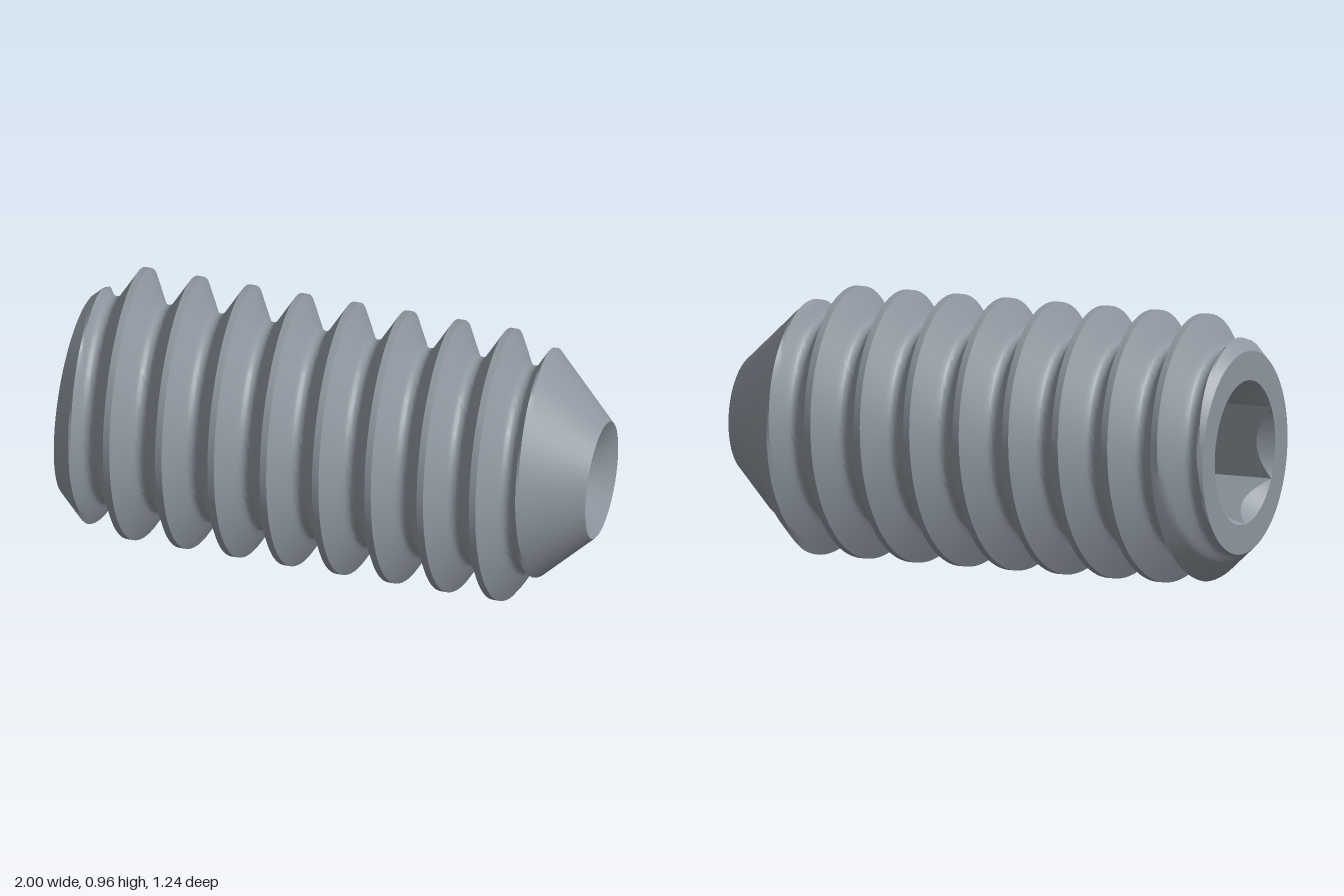
import * as THREE from 'three';
import { toCreasedNormals } from 'three/addons/utils/BufferGeometryUtils.js';

const COLUMNS = 120;
const PITCH = 0.193, CREST = 0.4815, ROOT = 0.363, CREST_HALF = 0.012, FILLET = 0.0279;
const PHASE = 0.0145;             // crest position along the axis at the top of the screw
const START = -0.94, END = 0.978; // socket end and cup end along the axis
const CUP_RADIUS = 0.2115, CUP_DEPTH = 0.125;
const MOUTH = 0.258, APOTHEM = MOUTH * Math.cos(Math.PI / 6);
const TILT = 0.211;

// Surface swept around the x axis; each row is a function angle -> [axial, radius]
function sweep(rows, crease = 0.5) {
  const positions = [], index = [];
  for (const row of rows) {
    for (let j = 0; j <= COLUMNS; j++) {
      const a = (j / COLUMNS) * Math.PI * 2;
      const [s, r] = row(a);
      positions.push(s, r * Math.cos(a), r * Math.sin(a));
    }
  }
  const point = (i) => new THREE.Vector3().fromArray(positions, i * 3);
  const addTriangle = (a, b, c) => {
    const pa = point(a);
    const area = point(b).sub(pa).cross(point(c).sub(pa)).length();
    if (area > 1e-9) index.push(a, b, c);
  };
  for (let i = 0; i < rows.length - 1; i++) {
    for (let j = 0; j < COLUMNS; j++) {
      const a = i * (COLUMNS + 1) + j, b = a + 1;
      const d = a + COLUMNS + 1, c = d + 1;
      addTriangle(a, b, c);
      addTriangle(a, c, d);
    }
  }
  const geometry = new THREE.BufferGeometry();
  geometry.setAttribute('position', new THREE.Float32BufferAttribute(positions, 3));
  geometry.setIndex(index);
  return toCreasedNormals(geometry, crease);
}

// Thread radius at an axial distance from the crest: flat crest, 60 degree flanks, round root
function threadRadius(distance) {
  const d = Math.abs(distance), e = PITCH / 2 - d;
  if (d <= CREST_HALF) return CREST;
  if (e < FILLET * Math.sin(Math.PI / 3)) {
    return ROOT + FILLET - Math.sqrt(FILLET * FILLET - e * e);
  }
  return CREST - Math.sqrt(3) * (d - CREST_HALF);
}

// Helical rows, trimmed by the chamfer at one end and the cone at the other
function threadRows() {
  const half = [];
  const flankEnd = PITCH / 2 - FILLET * Math.sin(Math.PI / 3);
  for (let i = 0; i <= 7; i++) half.push(THREE.MathUtils.lerp(CREST_HALF, flankEnd, i / 7));
  for (const deg of [40, 20]) half.push(PITCH / 2 - FILLET * Math.sin(deg * Math.PI / 180));
  const offsets = [-PITCH / 2, ...half.map((d) => -d).reverse(), ...half];

  const rows = [];
  for (let turn = -6; turn <= 5; turn++) {
    for (const offset of offsets) {
      rows.push((a) => {
        const crest = PHASE + PITCH * (turn + a / (Math.PI * 2));
        const s = THREE.MathUtils.clamp(crest + offset, START, END);
        const d = s - crest - PITCH * Math.round((s - crest) / PITCH);
        const chamfer = ROOT + (s - START) * 0.92;
        const cone = CUP_RADIUS + (END - s) * 0.94;
        return [s, Math.min(threadRadius(d), chamfer, cone)];
      });
    }
  }
  rows.push(() => [END, CUP_RADIUS]);
  return rows;
}

// Hexagon radius with corners at the top and bottom
function hexRadius(a) {
  const sector = Math.PI / 3;
  const local = a - sector * Math.floor(a / sector + 1e-9);
  return APOTHEM / Math.cos(local - sector / 2);
}

export function createModel() {
  const steel = new THREE.MeshStandardMaterial({ color: 0x8c949d });
  steel.name = 'steel grey';

  const model = new THREE.Group();
  model.name = 'setScrew';
  const screw = new THREE.Group();
  screw.name = 'screw';
  screw.position.y = CREST;
  screw.rotation.y = -TILT;
  model.add(screw);

  const add = (name, geometry) => {
    const mesh = new THREE.Mesh(geometry, steel);
    mesh.name = name;
    screw.add(mesh);
  };

  add('threadedBody', sweep(threadRows()));

  // Conical recess in the tip
  add('cupPoint', sweep([
    () => [END, CUP_RADIUS],
    () => [END - CUP_DEPTH * 0.5, CUP_RADIUS * 0.5],
    () => [END - CUP_DEPTH, 0],
  ]));

  // Flat ring around the socket mouth
  add('socketFace', sweep([() => [START, MOUTH], () => [START, ROOT]]));

  // Hexagonal socket: floor, flats and countersunk mouth
  const floor = START + 0.45;
  add('hexSocket', sweep([
    () => [floor + 0.06, 0],
    (a) => [floor, hexRadius(a)],
    (a) => [START + Math.max(0, MOUTH - hexRadius(a)) / 0.6, hexRadius(a)],
    () => [START, MOUTH],
  ], 0.4));

  return model;
}
